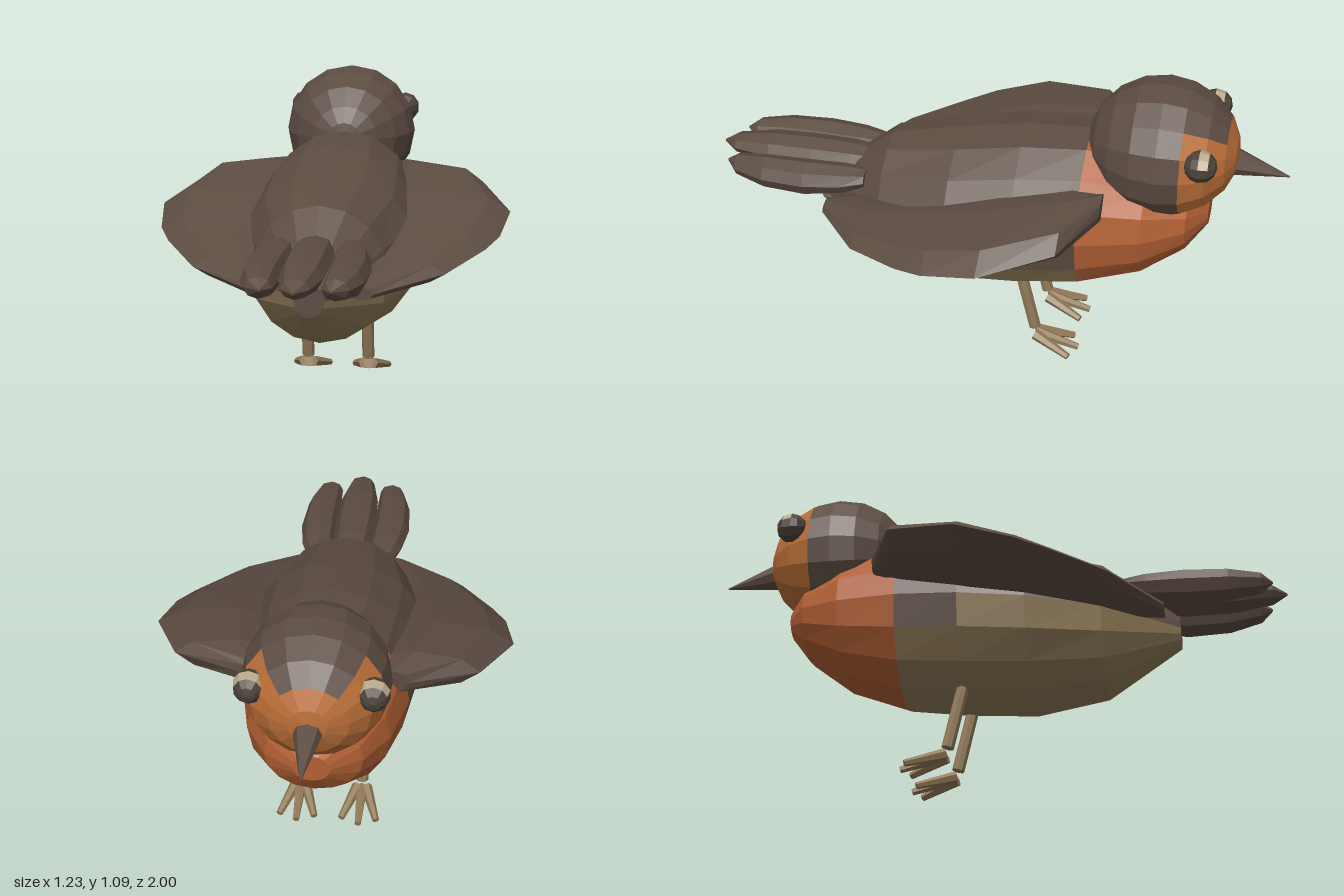
import * as THREE from 'three';

const mat = (name, color) => {
  const m = new THREE.MeshStandardMaterial({ color });
  m.name = name;
  return m;
};

// Lofts elliptical sections [z, cx, cy, rx, ry] (z ascending) into a faceted skin.
// pick(band, angleFromTop) gives the material index of a face; caps are bands -1 and last.
function loft(name, sections, sides, mats, pick = () => 0) {
  const buckets = mats.map(() => []);
  const rings = sections.map(([z, cx, cy, rx, ry]) =>
    Array.from({ length: sides }, (_, j) => {
      const a = (j / sides) * Math.PI * 2;
      return new THREE.Vector3(cx + rx * Math.sin(a), cy + ry * Math.cos(a), z);
    }));
  const tri = (k, a, b, c) => {
    if (new THREE.Triangle(a, b, c).getArea() < 1e-8) return;
    for (const p of [a, b, c]) buckets[k].push(p.x, p.y, p.z);
  };
  const last = rings.length - 1;
  for (let j = 0; j < sides; j++) {
    const n = (j + 1) % sides;
    const deg = ((j + 0.5) / sides) * 360;
    const fromTop = Math.min(deg, 360 - deg);
    for (let i = 0; i < last; i++) {
      const k = pick(i, fromTop);
      tri(k, rings[i][j], rings[i + 1][j], rings[i + 1][n]);
      tri(k, rings[i][j], rings[i + 1][n], rings[i][n]);
    }
    const centre = ([z, cx, cy]) => new THREE.Vector3(cx, cy, z);
    tri(pick(-1, fromTop), centre(sections[0]), rings[0][j], rings[0][n]);
    tri(pick(last, fromTop), centre(sections[last]), rings[last][n], rings[last][j]);
  }
  const geo = new THREE.BufferGeometry();
  geo.setAttribute('position', new THREE.Float32BufferAttribute(buckets.flat(), 3));
  let start = 0;
  buckets.forEach((b, k) => {
    geo.addGroup(start, b.length / 3, k);
    start += b.length / 3;
  });
  geo.computeVertexNormals();
  const mesh = new THREE.Mesh(geo, mats);
  mesh.name = name;
  return mesh;
}

// Ellipsoid sections at given angles from the -z pole.
const ball = (x, y, z, rx, ry, rz, degs) => degs.map((d) => {
  const t = THREE.MathUtils.degToRad(d), s = d % 180 === 0 ? 0 : Math.sin(t);
  return [z - rz * Math.cos(t), x, y, rx * s, ry * s];
});

// Faceted tapered rod between two points.
function rod(name, from, to, r0, r1, sides, material) {
  const a = new THREE.Vector3(...from), b = new THREE.Vector3(...to);
  const dir = b.clone().sub(a);
  const geo = new THREE.CylinderGeometry(r1, r0, dir.length(), sides).toNonIndexed();
  geo.computeVertexNormals();
  const mesh = new THREE.Mesh(geo, material);
  mesh.position.copy(a).add(b).multiplyScalar(0.5);
  mesh.quaternion.setFromUnitVectors(new THREE.Vector3(0, 1, 0), dir.normalize());
  mesh.name = name;
  return mesh;
}

export function createModel() {
  const brown = mat('brown feathers', 0x5c4c42);
  const rust = mat('rust breast', 0xb26034);
  const amber = mat('amber face', 0xba6e38);
  const tan = mat('tan belly', 0x8f7b57);
  const legTan = mat('leg tan', 0x927a58);
  const eyeDark = mat('eye dark', 0x4c433b);
  const glint = mat('eye glint', 0xb9aa8a);
  const bird = new THREE.Group();
  bird.name = 'bird';

  // Body: rust breast, brown back and shoulder patch, tan belly
  bird.add(loft('body', [
    [-0.745, 0, 0.62, 0.06, 0.05],
    [-0.68, 0, 0.615, 0.16, 0.135],
    [-0.54, 0, 0.6, 0.235, 0.23],
    [-0.33, 0, 0.588, 0.28, 0.297],
    [-0.11, 0, 0.567, 0.305, 0.302],
    [0.12, 0, 0.538, 0.31, 0.285],
    [0.37, 0, 0.525, 0.23, 0.235],
    [0.63, 0, 0.505, 0.05, 0.055],
  ], 16, [brown, rust, tan], (i, a) => {
    if (i < 3) return 1;
    if (i === 7) return 0;
    return a < (i === 3 ? 112 : 90) ? 0 : 2;
  }));

  // Head: brown hood over an amber face
  bird.add(loft('head',
    ball(0, 0.852, -0.575, 0.24, 0.238, 0.255, [0, 15, 32, 52, 72, 90, 110, 130, 150, 165, 180]),
    16, [brown, amber], (i, a) => (i >= 4 || (i >= 2 && a < 45) ? 0 : 1)));

  bird.add(rod('beak', [0, 0.828, -0.79], [0, 0.79, -1], 0.054, 0.002, 8, brown));

  for (const s of [1, -1]) {
    const side = s > 0 ? 'left' : 'right';

    // Eye with a pale glint on top
    bird.add(loft(side + 'Eye',
      ball(s * 0.193, 0.915, -0.72, 0.053, 0.055, 0.055, [0, 30, 60, 95, 120, 150, 180]),
      10, [eyeDark, glint], (i, a) => (i === 2 && a < 72 ? 1 : 0)));

    // Wing: flat lens sloping down towards the rear
    const wing = [
      // z, inner x, outer x, y, half thickness
      [-0.41, 0.17, 0.28, 0.725, 0.045],
      [-0.31, 0.08, 0.51, 0.712, 0.068],
      [-0.07, 0.06, 0.615, 0.658, 0.075],
      [0.12, 0.06, 0.585, 0.613, 0.065],
      [0.22, 0.06, 0.54, 0.59, 0.055],
      [0.41, 0.08, 0.42, 0.552, 0.04],
      [0.58, 0.12, 0.2, 0.522, 0.022],
    ];
    bird.add(loft(side + 'Wing',
      wing.map(([z, a, b, y, h]) => [z, s * (a + b) / 2, y, (b - a) / 2, h]), 8, [brown]));

    // Outer tail feather
    bird.add(loft(side + 'TailFeather', [
      [0.44, s * 0.115, 0.635, 0.045, 0.03],
      [0.52, s * 0.125, 0.625, 0.06, 0.05],
      [0.65, s * 0.135, 0.617, 0.067, 0.06],
      [0.8, s * 0.132, 0.617, 0.062, 0.055],
      [0.91, s * 0.118, 0.622, 0.044, 0.035],
      [0.95, s * 0.108, 0.625, 0.004, 0.004],
    ], 8, [brown]));

    // Leg and three splayed toes
    const leg = new THREE.Group();
    leg.name = side + 'Leg';
    leg.add(rod('shin', [s * 0.11, 0.3, -0.115], [s * 0.11, 0.083, -0.165], 0.022, 0.022, 8, legTan));
    for (const d of [-1, 0, 1]) {
      leg.add(rod('toe', [s * 0.11 + d * 0.015, 0.055, -0.17],
        [s * 0.11 + d * 0.062, 0.013, d ? -0.3 : -0.325], 0.021, 0.012, 6, legTan));
    }
    bird.add(leg);
  }

  // Middle tail feather
  bird.add(loft('middleTailFeather', [
    [0.4, 0, 0.645, 0.055, 0.03],
    [0.52, 0, 0.64, 0.068, 0.05],
    [0.66, 0, 0.635, 0.074, 0.058],
    [0.82, 0, 0.633, 0.07, 0.054],
    [0.95, 0, 0.631, 0.045, 0.032],
    [1, 0, 0.63, 0.004, 0.004],
  ], 8, [brown]));

  return bird;
}
